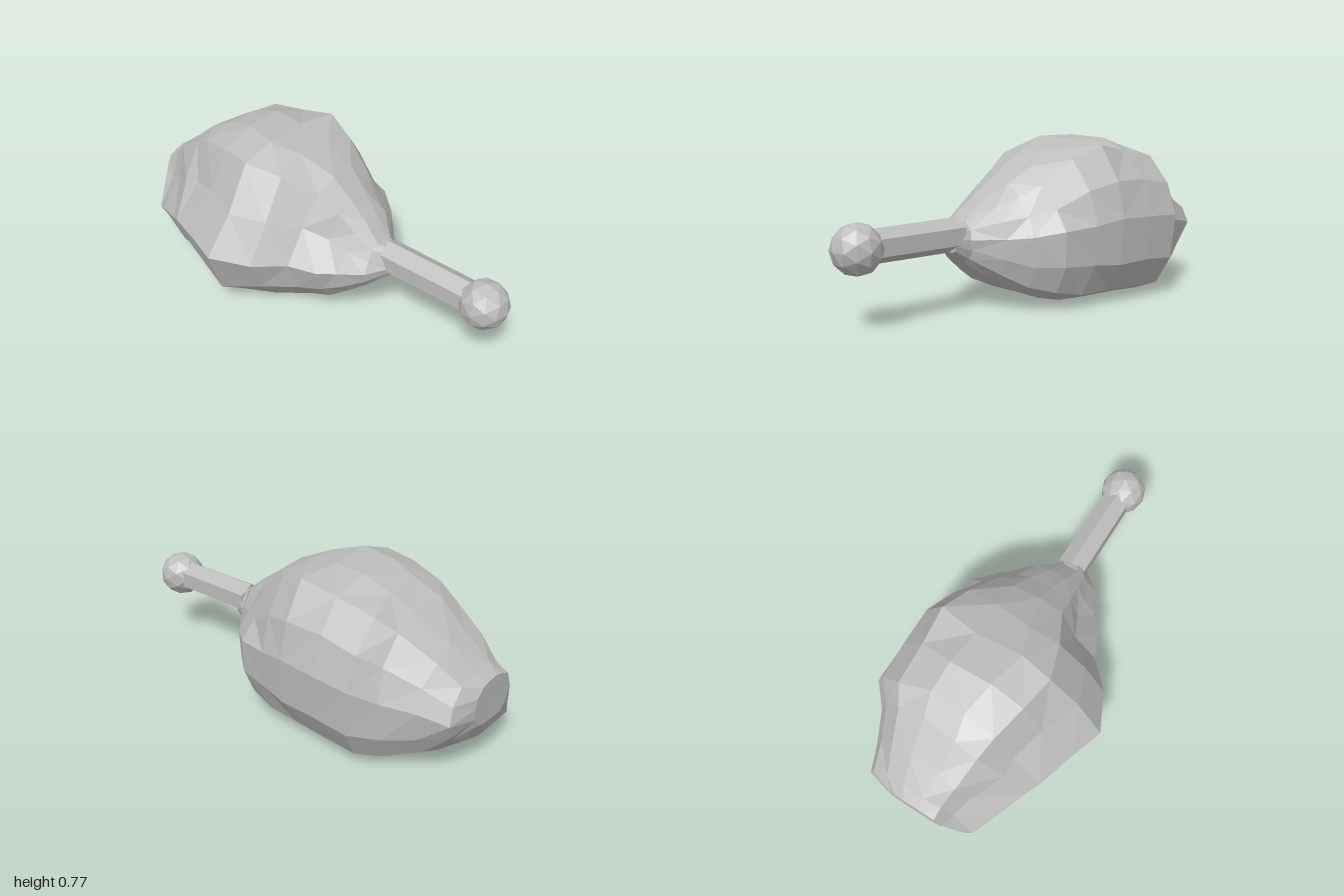
import * as THREE from 'three';

// Body stations along x: [x, bottom, top, back z, front z]
const STATIONS = [
  [-1.0, 0.22, 0.42, -0.17, 0.1],
  [-0.95, 0.11, 0.455, -0.29, 0.23],
  [-0.84, 0.06, 0.545, -0.345, 0.28],
  [-0.69, 0, 0.66, -0.42, 0.35],
  [-0.59, 0, 0.72, -0.5, 0.39],
  [-0.43, 0, 0.765, -0.5, 0.45],
  [-0.25, 0, 0.76, -0.49, 0.5],
  [-0.09, 0.015, 0.725, -0.46, 0.41],
  [0.05, 0.045, 0.655, -0.425, 0.29],
  [0.16, 0.085, 0.58, -0.335, 0.24],
  [0.25, 0.15, 0.51, -0.24, 0.18],
  [0.35, 0.23, 0.43, -0.12, 0.11],
  [0.42, 0.28, 0.4, -0.1, 0.02],
];

// Lumpy cross-section as [z, y] fractions, from the front edge under to the back and over the top
const PROFILE = [
  [1, 0.43], [0.85, 0.19], [0.58, 0.02], [0, 0], [-0.48, 0], [-0.81, 0.07], [-0.97, 0.27],
  [-1, 0.54], [-0.9, 0.75], [-0.64, 0.92], [-0.3, 0.99], [0.12, 1], [0.45, 0.92], [0.73, 0.68],
];

// Local dents and humps: [x, y, z, radius, dx, dy, dz]
const BUMPS = [
  [-0.25, 0.14, 0.43, 0.1, -0.02, -0.06, -0.01], // low front corner
  [-0.23, 0.7, -0.31, 0.1, 0.03, 0.05, -0.03], // rear top peak
  [0.08, 0.55, -0.34, 0.14, 0, -0.05, 0.05], // flat behind the peak
  [-0.17, 0.68, 0.2, 0.11, 0, 0.035, 0.005], // front top shoulder
  [-0.52, 0.47, 0.32, 0.13, 0, -0.01, -0.045], // shelf above the front edge
  [0.16, 0.43, 0.17, 0.1, 0, 0, -0.04], // flat beside the shaft
  [-0.93, 0.25, 0.24, 0.11, 0, -0.1, 0], // drooping corner of the broad end
  [-0.9, 0.36, 0.17, 0.08, 0.03, -0.02, -0.06], // notch above that corner
  [-1, 0.34, 0.08, 0.06, 0, 0.04, 0.02], // lip above the notch
  [-0.95, 0.12, -0.24, 0.1, 0.02, 0.04, 0.04], // rounded rear lower end
  [-0.93, 0.33, -0.28, 0.1, -0.02, 0, -0.02], // fuller rear end
];

function createBodyGeometry() {
  let seed = 7;
  const rnd = () => {
    seed = (seed * 16807) % 2147483647;
    return seed / 2147483647 - 0.5;
  };
  const n = PROFILE.length;
  const rings = STATIONS.map(([x, y0, y1, z0, z1], i) => PROFILE.map(([pz, py]) => {
    const amount = (y1 - y0) * 0.025;
    const start = new THREE.Vector3(x, y0 + (y1 - y0) * py, (z0 + z1) / 2 + pz * (z1 - z0) / 2);
    const p = start.clone();
    // Slight unevenness, leaving the outermost edges in place
    if (i > 0 && i < STATIONS.length - 1) p.x += rnd() * amount * 2;
    if (py > 0.03 && py < 0.98) p.y += rnd() * amount;
    if (Math.abs(pz) < 0.97) p.z += rnd() * amount;
    for (const [bx, by, bz, r, dx, dy, dz] of BUMPS) {
      const d2 = start.distanceToSquared(new THREE.Vector3(bx, by, bz));
      p.addScaledVector(new THREE.Vector3(dx, dy, dz), Math.exp(-d2 / (r * r)));
    }
    p.x = Math.max(-1, p.x);
    p.y = Math.max(0, p.y);
    return p;
  }));

  const pos = [];
  const tri = (...pts) => pts.forEach((p) => pos.push(p.x, p.y, p.z));
  for (let i = 0; i < rings.length - 1; i++) {
    for (let j = 0; j < n; j++) {
      const k = (j + 1) % n;
      const a = rings[i][j], b = rings[i][k], c = rings[i + 1][k], d = rings[i + 1][j];
      // Split each quad along its shorter diagonal
      if (b.distanceTo(d) < a.distanceTo(c)) {
        tri(a, b, d);
        tri(b, c, d);
      } else {
        tri(a, b, c);
        tri(a, c, d);
      }
    }
  }
  // Close both ends
  const cap = (ring, flip) => {
    const c = new THREE.Vector3();
    ring.forEach((p) => c.addScaledVector(p, 1 / n));
    ring.forEach((p, j) => {
      const q = ring[(j + 1) % n];
      if (flip) tri(c, q, p);
      else tri(c, p, q);
    });
  };
  cap(rings[0], true);
  cap(rings[rings.length - 1], false);

  const geo = new THREE.BufferGeometry();
  geo.setAttribute('position', new THREE.Float32BufferAttribute(pos, 3));
  geo.computeVertexNormals();
  return geo;
}

export function createModel() {
  const group = new THREE.Group();
  const grey = new THREE.MeshStandardMaterial({ color: 0xbcbcbc, flatShading: true });
  grey.name = 'grey';

  const add = (name, geometry) => {
    const mesh = new THREE.Mesh(geometry, grey);
    mesh.name = name;
    group.add(mesh);
    return mesh;
  };

  add('body', createBodyGeometry());

  // Six-sided shaft with an edge along the top
  const shaft = new THREE.CylinderGeometry(0.075, 0.078, 0.46, 6);
  shaft.rotateY(Math.PI / 2);
  shaft.rotateZ(-Math.PI / 2);
  add('shaft', shaft).position.set(0.6, 0.355, -0.04);

  // Faceted knob at the end of the shaft
  add('knob', new THREE.IcosahedronGeometry(0.113, 1)).position.set(0.888, 0.353, -0.04);

  return group;
}
